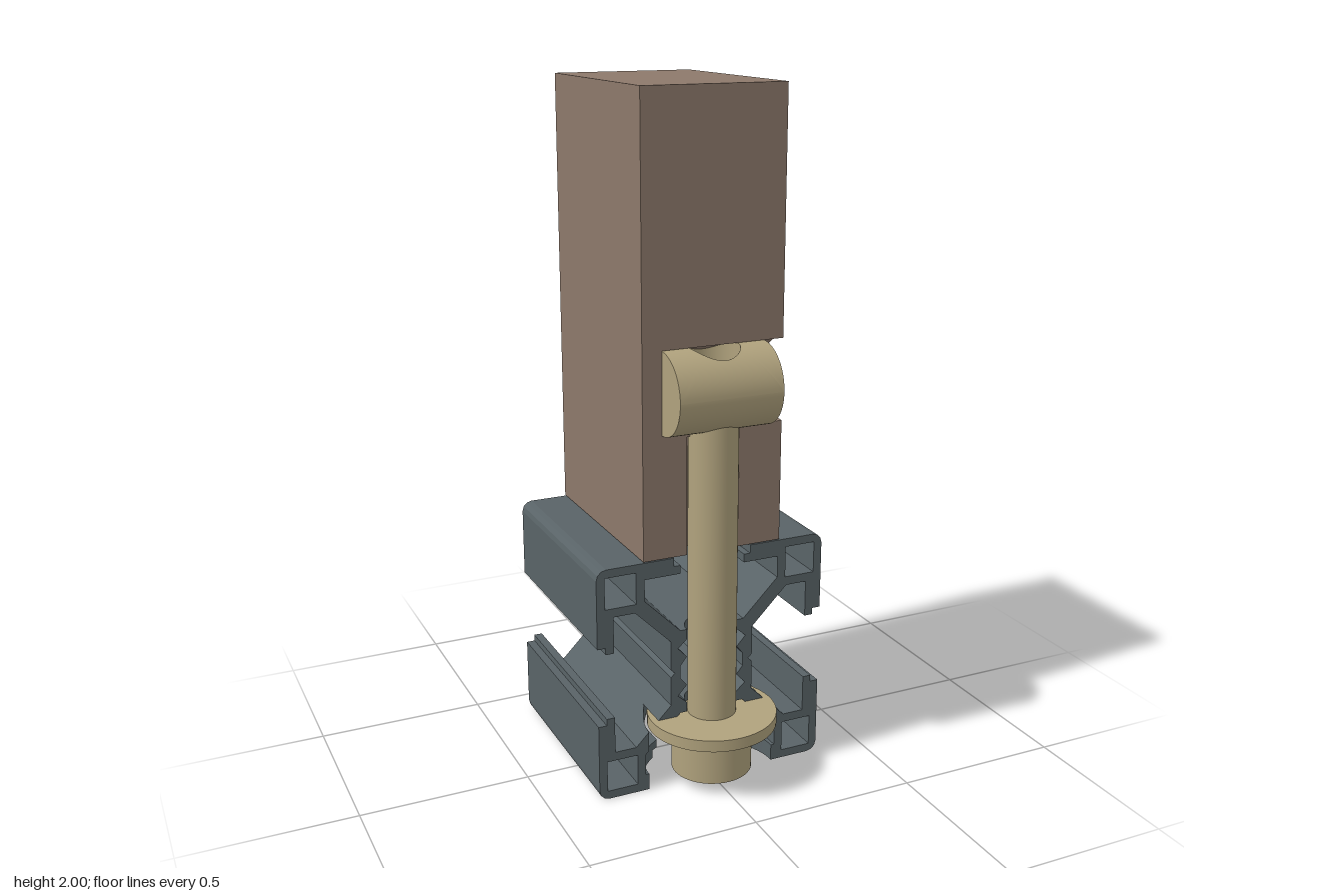
import * as THREE from 'three';
import { ParametricGeometry } from 'three/addons/geometries/ParametricGeometry.js';

const FRONT = 0.213, BACK = -0.405, LEN = FRONT - BACK;
const C = 0.355;                 // rail centre height
const BORE = 0.08, CLEAR = 0.2;  // bolt bore and washer clearance radii
const NUT_Y = 1.19, NUT_R = 0.118, NUT_HALF = 0.155;

const mat = (name, color, side = THREE.FrontSide) => {
  const m = new THREE.MeshStandardMaterial({ color, side });
  m.name = name;
  return m;
};

const outline = (pts) => new THREE.Shape(pts.map(([x, y]) => new THREE.Vector2(x, y)));
const extrude = (shape, depth, steps = 1) =>
  new THREE.ExtrudeGeometry(shape, { depth, steps, bevelEnabled: false, curveSegments: 32 });

// Flat plate lying in x/z, spanning y0..y1
const plate = (shape, y0, y1) => extrude(shape, y1 - y0).rotateX(-Math.PI / 2).translate(0, y0, 0);

// Slab with a half-round bolt channel in its front face
function channelSlab(half, y0, y1) {
  const s = new THREE.Shape();
  s.moveTo(half, -FRONT);
  s.lineTo(half, -BACK);
  s.lineTo(-half, -BACK);
  s.lineTo(-half, -FRONT);
  s.lineTo(-BORE, -FRONT);
  s.absarc(0, -FRONT, BORE, Math.PI, 0, true);
  return plate(s, y0, y1);
}

// Lower slot lip, cut away around the washer
function cutLip(inner, y0, y1) {
  const s = new THREE.Shape();
  s.moveTo(0.21, -FRONT);
  s.lineTo(0.21, -BACK);
  s.lineTo(inner, -BACK);
  s.absarc(0, -FRONT, CLEAR, Math.acos(inner / CLEAR), 0, true);
  return plate(s, y0, y1);
}

// Lower end of a diagonal arm, trimmed by the washer clearance
function cutArm() {
  const g = extrude(outline([[0.11, 0.215], [0.115, 0.215], [0.17, 0.215], [0.24, 0.145], [0.21, 0.115]]), LEN, 60);
  g.translate(0, 0, BACK);
  const p = g.attributes.position;
  for (let i = 0; i < p.count; i++) {
    const x = p.getX(i), d = FRONT - p.getZ(i);
    if (x > 0.18) continue;
    const nx = Math.max(x, d < CLEAR ? Math.sqrt(CLEAR * CLEAR - d * d) : 0);
    p.setXY(i, nx, x < 0.112 ? 0.325 - nx : Math.min(0.215, 0.385 - nx));
  }
  g.computeVertexNormals();
  return g;
}

// Mirrored copy with corner order restored
function mirrorX(src) {
  const g = src.clone().scale(-1, 1, 1);
  const p = g.attributes.position, a = new THREE.Vector3(), b = new THREE.Vector3();
  for (let i = 0; i < p.count; i += 3) {
    a.fromBufferAttribute(p, i);
    b.fromBufferAttribute(p, i + 2);
    p.setXYZ(i, b.x, b.y, b.z);
    p.setXYZ(i + 2, a.x, a.y, a.z);
  }
  g.computeVertexNormals();
  return g;
}

export function createModel() {
  const model = new THREE.Group();
  model.name = 'railJoint';
  const wood = mat('brownBlock', 0x8d796b);
  const metal = mat('greyRail', 0x596367);
  const brass = mat('tanFastener', 0xb0a27d, THREE.DoubleSide);
  const group = (name) => {
    const g = new THREE.Group();
    g.name = name;
    model.add(g);
    return g;
  };
  const add = (parent, name, geo, material) => {
    const m = new THREE.Mesh(geo, material);
    m.name = name;
    parent.add(m);
    return m;
  };

  // Slotted rail: half section, then mirrored
  const rail = group('rail');
  const up = (pts) => pts.map(([x, v]) => [x, C + v]);
  const down = (pts) => pts.map(([x, v]) => [x, C - v]);
  const teeth = [[0.1, 0.02], [0.08, 0.045], [0.108, 0.075], [0.08, 0.1]];
  const corner = [[0.325, 0.355], [0.34, 0.351], [0.351, 0.34], [0.355, 0.325], [0.355, 0.12], [0.33, 0.12],
    [0.33, 0.1], [0.305, 0.1], [0.305, 0.21], [0.24, 0.21]];
  const cell = [[0.236, 0.236], [0.33, 0.236], [0.33, 0.33], [0.236, 0.33]];
  const upper = outline([
    ...up(teeth), ...up([[0.08, 0.13], [0.1, 0.13], [0.21, 0.24], [0.21, 0.305], [0.1, 0.305], [0.1, 0.33],
      [0.12, 0.33], [0.12, 0.355]]),
    ...up(corner), ...up([[0.13, 0.1], [0.13, 0.012], [0.118, 0]]),
    ...down([[0.13, 0.012], [0.13, 0.1], [0.17, 0.14], [0.11, 0.14], [0.1, 0.13], [0.08, 0.13]]),
    ...down([...teeth].reverse()),
  ]);
  upper.holes.push(new THREE.Path(outline(up(cell)).getPoints()));
  const lower = outline(down([[0.21, 0.24], [0.21, 0.355], ...corner]));
  lower.holes.push(new THREE.Path(outline(down(cell)).getPoints()));

  const halfParts = {
    RailBody: extrude(upper, LEN).translate(0, 0, BACK),
    LowerCorner: extrude(lower, LEN).translate(0, 0, BACK),
    LowerArm: cutArm(),
    LowerLip: cutLip(0.12, 0, 0.025),
    LowerHook: cutLip(0.1, 0.025, 0.05),
  };
  for (const [name, geo] of Object.entries(halfParts)) {
    add(rail, 'left' + name, geo, metal);
    add(rail, 'right' + name, mirrorX(geo), metal);
  }
  add(rail, 'upperHubWall', channelSlab(0.0801, C + 0.1, C + 0.13), metal);
  add(rail, 'lowerHubWall', channelSlab(0.0801, C - 0.13, C - 0.1), metal);

  // Upright block: channel below, cross groove for the barrel nut above
  const block = group('block');
  const split = 1.06, top = 2, half = 0.213;
  add(block, 'blockLower', channelSlab(half, 0.713, split), wood);
  const groove = new THREE.Shape();
  groove.moveTo(-FRONT, top);
  groove.lineTo(-BACK, top);
  groove.lineTo(-BACK, split);
  groove.lineTo(-FRONT, split);
  groove.absarc(-FRONT, NUT_Y, NUT_R + 0.001, -Math.PI / 2, Math.PI / 2, false);
  add(block, 'blockUpper',
    extrude(groove, half + NUT_HALF).rotateY(Math.PI / 2).translate(-NUT_HALF, 0, 0), wood);
  add(block, 'blockGrooveEnd', new THREE.BoxGeometry(half - NUT_HALF, top - split, LEN)
    .translate(-(half + NUT_HALF) / 2, (top + split) / 2, (FRONT + BACK) / 2), wood);

  // Bolt with washer
  const bolt = group('bolt');
  const rod = (name, r, y0, y1) => add(bolt, name,
    new THREE.CylinderGeometry(r, r, y1 - y0, 48).translate(0, (y0 + y1) / 2, FRONT), brass);
  rod('boltHead', 0.118, 0.037, 0.18);
  rod('washer', 0.19, 0.18, 0.215);
  rod('boltShaft', 0.071, 0.215, 1.2);

  // Barrel nut: upper skin wraps a round opening, lower skin is a half cylinder
  const nut = group('barrelNut');
  nut.position.set(0, NUT_Y, FRONT);
  const skin = new ParametricGeometry((u, v, out) => {
    const s = (u * 4) % 4, side = Math.floor(s), t = (s - side) * 2 - 1;
    const [a, b] = [[1, t], [-t, 1], [-1, -t], [t, -1]][side];
    const rx = a * NUT_HALF, rz = b * NUT_R, k = 0.072 / Math.hypot(rx, rz);
    const ang = THREE.MathUtils.lerp(Math.asin(rz * k / NUT_R), b * Math.PI / 2, v);
    // straight ends keep a constant angle spacing
    out.set(THREE.MathUtils.lerp(rx * k, rx, v), NUT_R * Math.cos(ang), -NUT_R * Math.sin(ang));
  }, 96, 12);
  skin.computeVertexNormals();
  add(nut, 'nutUpperSkin', skin, brass);
  add(nut, 'nutLowerSkin', new THREE.CylinderGeometry(NUT_R, NUT_R, NUT_HALF * 2, 32, 1, true, Math.PI, Math.PI)
    .rotateZ(Math.PI / 2), brass);
  for (const s of [1, -1])
    add(nut, s > 0 ? 'nutLeftEnd' : 'nutRightEnd',
      new THREE.CircleGeometry(NUT_R, 48).rotateY(s * Math.PI / 2).translate(s * NUT_HALF, 0, 0), brass);
  // Opening wall, its rim following the round skin
  const wall = new THREE.CylinderGeometry(0.072, 0.072, 1, 48, 1, true);
  const p = wall.attributes.position;
  for (let i = 0; i < p.count; i++)
    p.setY(i, p.getY(i) > 0 ? Math.sqrt(NUT_R * NUT_R - p.getZ(i) ** 2) : 0);
  add(nut, 'nutOpening', wall, brass);

  return model;
}
